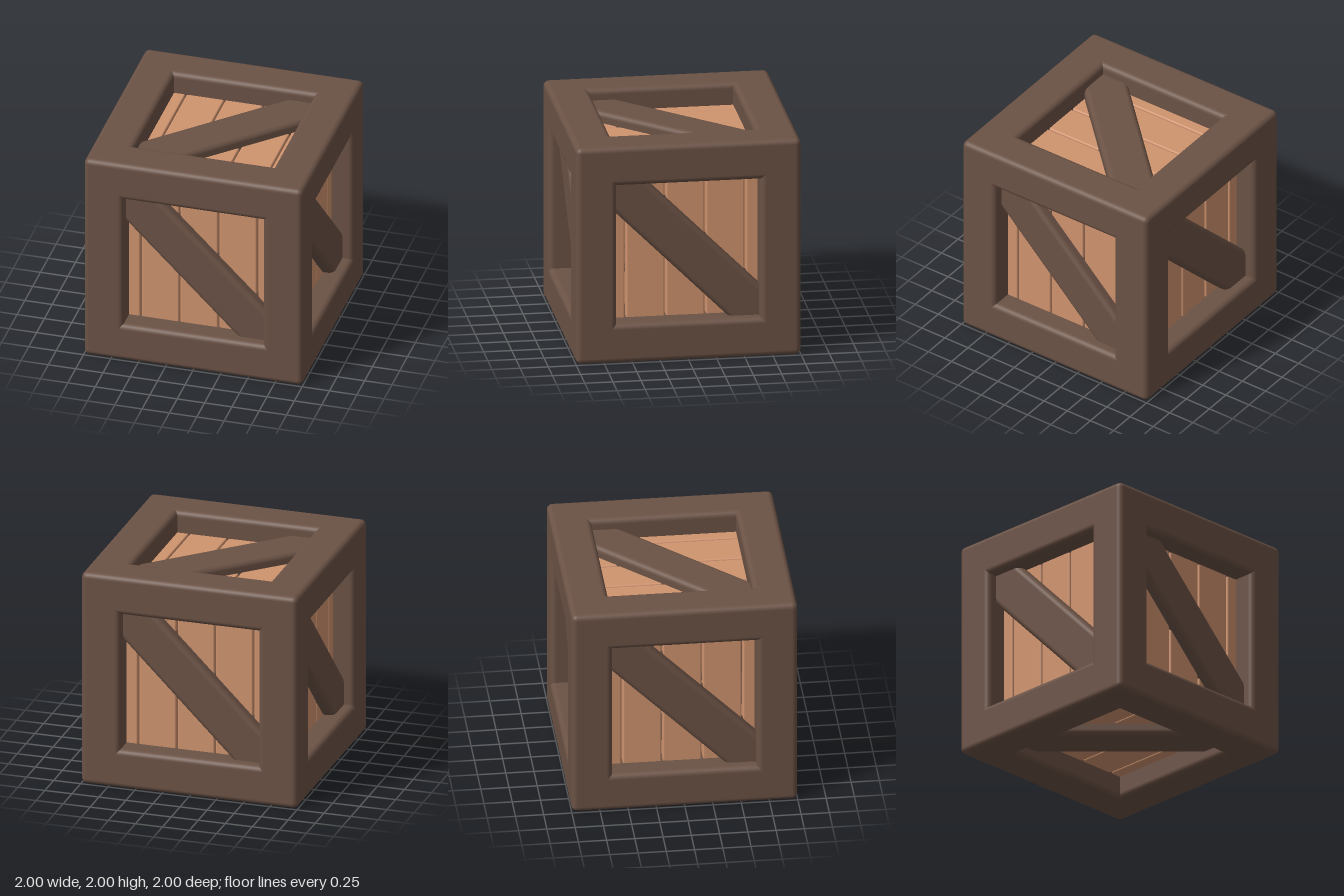
import * as THREE from 'three';
import { RoundedBoxGeometry } from 'three/addons/geometries/RoundedBoxGeometry.js';

const darkWood = new THREE.MeshStandardMaterial({ color: 0x6b5245 });
const lightWood = new THREE.MeshStandardMaterial({ color: 0xd0946f });

const BEAM = 0.36;    // square section of the frame beams
const RECESS = 0.2;   // depth of the planks behind the frame
const PITCH = 0.355;  // plank spacing

function board(name, w, h, d, r, material) {
  const mesh = new THREE.Mesh(new RoundedBoxGeometry(w, h, d, 4, r), material);
  mesh.name = name;
  return mesh;
}

// Twelve beams along the edges of the cube
function createFrame() {
  const frame = new THREE.Group();
  frame.name = 'frame';
  const c = 1 - BEAM / 2;
  for (const axis of ['x', 'y', 'z']) {
    const [u, v] = ['x', 'y', 'z'].filter((a) => a !== axis);
    const size = { x: BEAM, y: BEAM, z: BEAM, [axis]: 2 };
    for (const su of [-1, 1]) for (const sv of [-1, 1]) {
      const beam = board('frameBeam', size.x, size.y, size.z, 0.05, darkWood);
      beam.position[u] = su * c;
      beam.position[v] = sv * c;
      frame.add(beam);
    }
  }
  return frame;
}

// One face, looking along +z: five planks and a diagonal brace
function createPanel(name, braceSide) {
  const panel = new THREE.Group();
  panel.name = name;
  const thickness = 0.1;
  for (let i = -2; i <= 2; i++) {
    const plank = board('plank', PITCH - 0.012, 1.6, thickness, 0.015, lightWood);
    plank.position.set(i * PITCH, 0, 1 - RECESS - thickness / 2);
    panel.add(plank);
  }
  const brace = board('diagonalBrace', 2, 0.396, 0.2, 0.05, darkWood);
  brace.position.z = 0.8;
  brace.rotation.z = braceSide * Math.PI / 4;
  panel.add(brace);
  return panel;
}

export function createModel() {
  const crate = new THREE.Group();
  crate.name = 'crate';
  crate.add(createFrame());

  // Four sides
  ['frontPanel', 'leftPanel', 'backPanel', 'rightPanel'].forEach((name, i) => {
    const panel = createPanel(name, -1);
    panel.rotation.y = i * Math.PI / 2;
    crate.add(panel);
  });

  // Top and bottom, with the brace on the other diagonal
  for (const [name, turn] of [['topPanel', -1], ['bottomPanel', 1]]) {
    const panel = createPanel(name, 1);
    panel.rotation.x = turn * Math.PI / 2;
    crate.add(panel);
  }

  crate.position.y = 1;
  const model = new THREE.Group();
  model.add(crate);
  return model;
}
